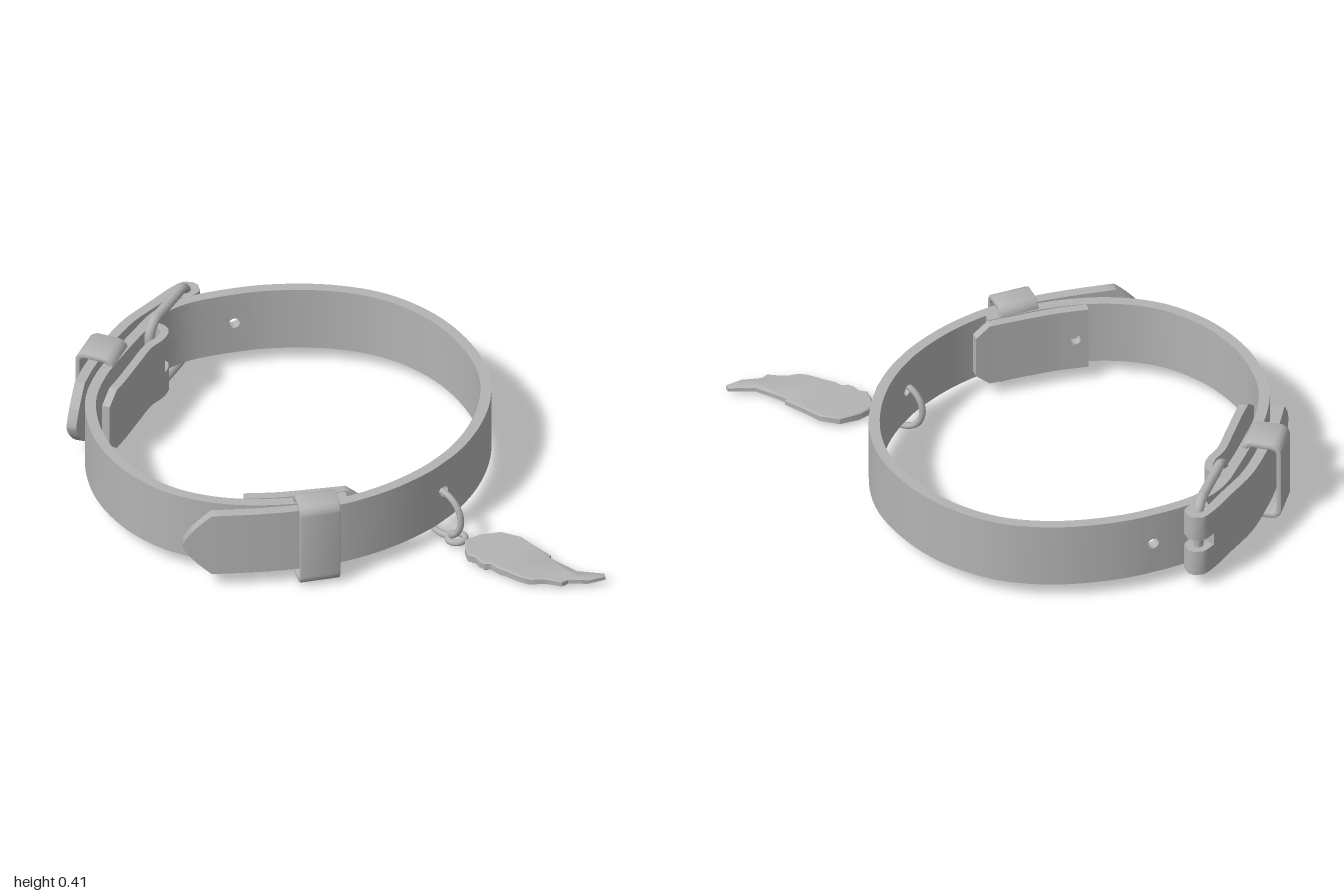
import * as THREE from 'three';
import { mergeGeometries, toCreasedNormals } from 'three/addons/utils/BufferGeometryUtils.js';

const MID = 0.215, HALF = 0.145;
const grey = new THREE.MeshStandardMaterial({ color: 0xb4b4b4 });
grey.name = 'plain grey';

function part(name, geometry, parent) {
  const mesh = new THREE.Mesh(geometry, grey);
  mesh.name = name;
  parent.add(mesh);
  return mesh;
}

const v3 = (x, z, y = 0) => new THREE.Vector3(x, y, z);

// Half height of a strap at distance d from its end
const pointed = d => Math.max(0.004, HALF * Math.min(1, (d / 0.12) ** 0.7));
const clipped = d => HALF - 0.05 * Math.max(0, 1 - d / 0.06);
const square = () => HALF;

// Flat strap of short slabs bent along a path of [x, z] points
function strap(path, { thick = 0.042, step = 0.04, start = square, end = square, holes = [], slots = [] }) {
  const curve = new THREE.CatmullRomCurve3(path.map(p => v3(...p)));
  curve.arcLengthDivisions = 600;
  const length = curve.getLength();
  const nearest = ([x, z]) => {
    let best = 0, least = Infinity;
    for (let i = 0; i <= 800; i++) {
      const p = curve.getPointAt(i / 800), d = Math.hypot(p.x - x, p.z - z);
      if (d < least) { least = d; best = i / 800 * length; }
    }
    return best;
  };
  const holeAt = holes.map(nearest), slotAt = slots.map(s => s.map(nearest));
  const count = Math.ceil(length / step);
  let cuts = Array.from({ length: count + 1 }, (_, i) => i / count * length);
  for (const d of [0.006, 0.018, 0.06, 0.09, 0.12]) cuts.push(d, length - d);
  cuts = cuts.filter(c => holeAt.every(h => Math.abs(c - h) > 0.045));
  for (const h of holeAt) cuts.push(h - 0.045, h + 0.045);
  cuts.sort((a, b) => a - b);

  const slabs = [];
  const addSlab = (a, b, loA, hiA, loB, hiB, hole) => {
    const shape = new THREE.Shape([[a, loA], [b, loB], [b, hiB], [a, hiA]].map(p => new THREE.Vector2(...p)));
    if (hole !== undefined) {
      shape.holes.push(new THREE.Path().absarc(hole, 0, 0.024, 0, Math.PI * 2, true));
    }
    const g = new THREE.ExtrudeGeometry(shape, { depth: thick, bevelEnabled: false, curveSegments: 12 });
    g.translate(0, 0, -thick / 2);
    slabs.push(g);
  };
  for (let i = 0; i + 1 < cuts.length; i++) {
    const a = cuts[i], b = cuts[i + 1], m = (a + b) / 2;
    if (b - a < 1e-4) continue;
    const ha = Math.min(start(a), end(length - a)), hb = Math.min(start(b), end(length - b));
    if (slotAt.some(([p, q]) => m > Math.min(p, q) && m < Math.max(p, q))) {
      addSlab(a, b, 0.028, ha, 0.028, hb);
      addSlab(a, b, -ha, -0.028, -hb, -0.028);
    } else addSlab(a, b, -ha, ha, -hb, hb, holeAt.find(h => h > a && h < b));
  }
  const g = mergeGeometries(slabs), pos = g.attributes.position;
  for (let i = 0; i < pos.count; i++) {
    const u = THREE.MathUtils.clamp(pos.getX(i) / length, 0, 1), d = pos.getZ(i);
    const p = curve.getPointAt(u), t = curve.getTangentAt(u);
    pos.setXYZ(i, p.x - t.z * d, MID + pos.getY(i), p.z + t.x * d);
  }
  return toCreasedNormals(g, 0.7);
}

function roundRect(Type, w, h, r) {
  const s = new Type(), x = w / 2 - r, y = h / 2 - r;
  s.absarc(x, y, r, 0, Math.PI / 2);
  s.absarc(-x, y, r, Math.PI / 2, Math.PI);
  s.absarc(-x, -y, r, Math.PI, Math.PI * 1.5);
  s.absarc(x, -y, r, Math.PI * 1.5, Math.PI * 2);
  s.closePath();
  return s;
}

// Hollow sleeve around the overlapping straps; its depth runs along the strap
function keeper(name, x, z, angle, across, height, along, parent) {
  const shape = roundRect(THREE.Shape, across, height, 0.045);
  shape.holes.push(roundRect(THREE.Path, across - 0.045, height - 0.05, 0.025));
  const g = new THREE.ExtrudeGeometry(shape, {
    depth: along - 0.016, bevelSize: 0.008, bevelOffset: -0.008, bevelThickness: 0.008, bevelSegments: 2, curveSegments: 6,
  });
  g.translate(0, 0, -along / 2 + 0.008);
  const mesh = part(name, toCreasedNormals(g, 0.7), parent);
  mesh.position.set(x, 0.207, z);
  mesh.rotation.y = angle;
}

export function createModel() {
  const model = new THREE.Group();
  model.name = 'buckledCollar';

  // Main band: front tip, round the right and back, then down the left to the front overlap
  part('mainBand', strap([
    [-0.705, 0.592], [-0.5, 0.63], [-0.3, 0.655], [-0.15, 0.66], [0, 0.645], [0.2, 0.585], [0.4, 0.475],
    [0.56, 0.32], [0.68, 0.11], [0.725, -0.1], [0.69, -0.34], [0.6, -0.54], [0.45, -0.71], [0.25, -0.82],
    [0, -0.88], [-0.2, -0.885], [-0.36, -0.865], [-0.47, -0.815], [-0.59, -0.695], [-0.7, -0.57],
    [-0.81, -0.43], [-0.885, -0.28], [-0.913, -0.1], [-0.9, 0.06], [-0.84, 0.24], [-0.73, 0.4],
    [-0.6, 0.5], [-0.45, 0.565], [-0.3, 0.598], [-0.15, 0.61], [-0.02, 0.615],
  ], { thick: 0.045, start: pointed, holes: [[0.41, 0.47], [-0.14, -0.885]] }), model);

  // Outer tongue folded round the far bar of the buckle
  part('outerTongue', strap([
    [-0.38, -0.915], [-0.325, -0.915], [-0.287, -0.945], [-0.315, -0.98], [-0.37, -0.957], [-0.47, -0.885],
    [-0.6, -0.79], [-0.67, -0.72], [-0.77, -0.6], [-0.85, -0.49], [-0.91, -0.39], [-0.962, -0.3],
  ], { step: 0.02, end: pointed, slots: [[[-0.38, -0.915], [-0.37, -0.957]]] }), model);

  // Inner flap folded round the near bar
  part('innerFlap', strap([
    [-0.57, -0.71], [-0.515, -0.735], [-0.478, -0.69], [-0.505, -0.64], [-0.57, -0.59],
    [-0.65, -0.49], [-0.74, -0.375], [-0.82, -0.285],
  ], { thick: 0.035, step: 0.02, end: clipped, slots: [[[-0.57, -0.71], [-0.505, -0.64]]] }), model);

  // Flap inside the front overlap
  part('frontFlap', strap([[-0.43, 0.527], [-0.3, 0.55], [-0.1, 0.565], [0.05, 0.573]],
    { thick: 0.038, end: clipped, holes: [[-0.375, 0.537]] }), model);

  keeper('frontKeeper', -0.155, 0.66, Math.PI / 2, 0.14, 0.39, 0.172, model);
  keeper('backKeeper', -0.765, -0.595, Math.atan2(-0.58, 0.81), 0.172, 0.37, 0.163, model);

  // Buckle frame: rounded wire rectangle standing across the band
  const buckle = new THREE.Group();
  buckle.name = 'buckle';
  model.add(buckle);
  const near = v3(-0.54, -0.69), far = v3(-0.325, -0.948);
  const dir = far.clone().sub(near), span = dir.length(), centre = near.clone().add(far).multiplyScalar(0.5);
  dir.normalize();
  const outline = roundRect(THREE.Path, span, 0.355, 0.06).getSpacedPoints(48).slice(0, -1);
  const wire = new THREE.CatmullRomCurve3(
    outline.map(p => centre.clone().addScaledVector(dir, p.x).setY(MID + p.y)), true);
  part('buckleFrame', new THREE.TubeGeometry(wire, 80, 0.022, 10, true), buckle);

  // Prong between the two bars
  const prong = new THREE.CatmullRomCurve3([
    v3(-0.55, -0.68, MID), v3(-0.48, -0.77, MID), v3(-0.4, -0.87, MID), v3(-0.315, -0.965, MID)]);
  part('prong', new THREE.TubeGeometry(prong, 16, 0.018, 10), buckle);
  const prongLoop = part('prongLoop', new THREE.CylinderGeometry(0.034, 0.034, 0.045, 16), buckle);
  prongLoop.position.set(near.x, MID, near.z);

  // Ring through the band, and the small eyelet ring that holds the charm
  const charm = new THREE.Group();
  charm.name = 'charm';
  model.add(charm);
  const ring = part('hangingRing', new THREE.TorusGeometry(0.107, 0.014, 10, 40), charm);
  ring.position.set(0.408, 0.122, 0.497);
  ring.rotation.y = -Math.atan2(0.2, 0.14);
  const eyelet = part('charmEyelet', new THREE.TorusGeometry(0.036, 0.014, 10, 28), charm);
  eyelet.position.set(0.455, 0.032, 0.567);
  eyelet.rotation.x = Math.PI / 2;

  // Flat wing charm, thinning toward its tip
  const wing = new THREE.Shape([
    [0.48, 0.61], [0.55, 0.585], [0.64, 0.585], [0.71, 0.635], [0.745, 0.7], [0.8, 0.79], [0.79, 0.8],
    [0.825, 0.85], [0.88, 0.92], [0.985, 0.96], [0.985, 0.982], [0.91, 0.993], [0.87, 0.982], [0.83, 0.972],
    [0.8, 0.985], [0.75, 0.955], [0.72, 0.945], [0.68, 0.94], [0.65, 0.92], [0.63, 0.9], [0.6, 0.865],
    [0.565, 0.83], [0.545, 0.795], [0.52, 0.79], [0.505, 0.77], [0.495, 0.735], [0.468, 0.715], [0.468, 0.67],
  ].map(p => new THREE.Vector2(...p)));
  const g = new THREE.ExtrudeGeometry(wing, {
    depth: 0.03, bevelSize: 0.006, bevelOffset: -0.006, bevelThickness: 0.006, bevelSegments: 1,
  });
  g.translate(0, 0, -0.015);
  g.rotateX(Math.PI / 2);
  const pos = g.attributes.position;
  for (let i = 0; i < pos.count; i++) {
    const thin = 1 - 0.5 * (pos.getX(i) - 0.468) / 0.52;
    pos.setY(i, 0.031 + pos.getY(i) * thin);
  }
  part('wing', toCreasedNormals(g, 0.6), charm);

  return model;
}
